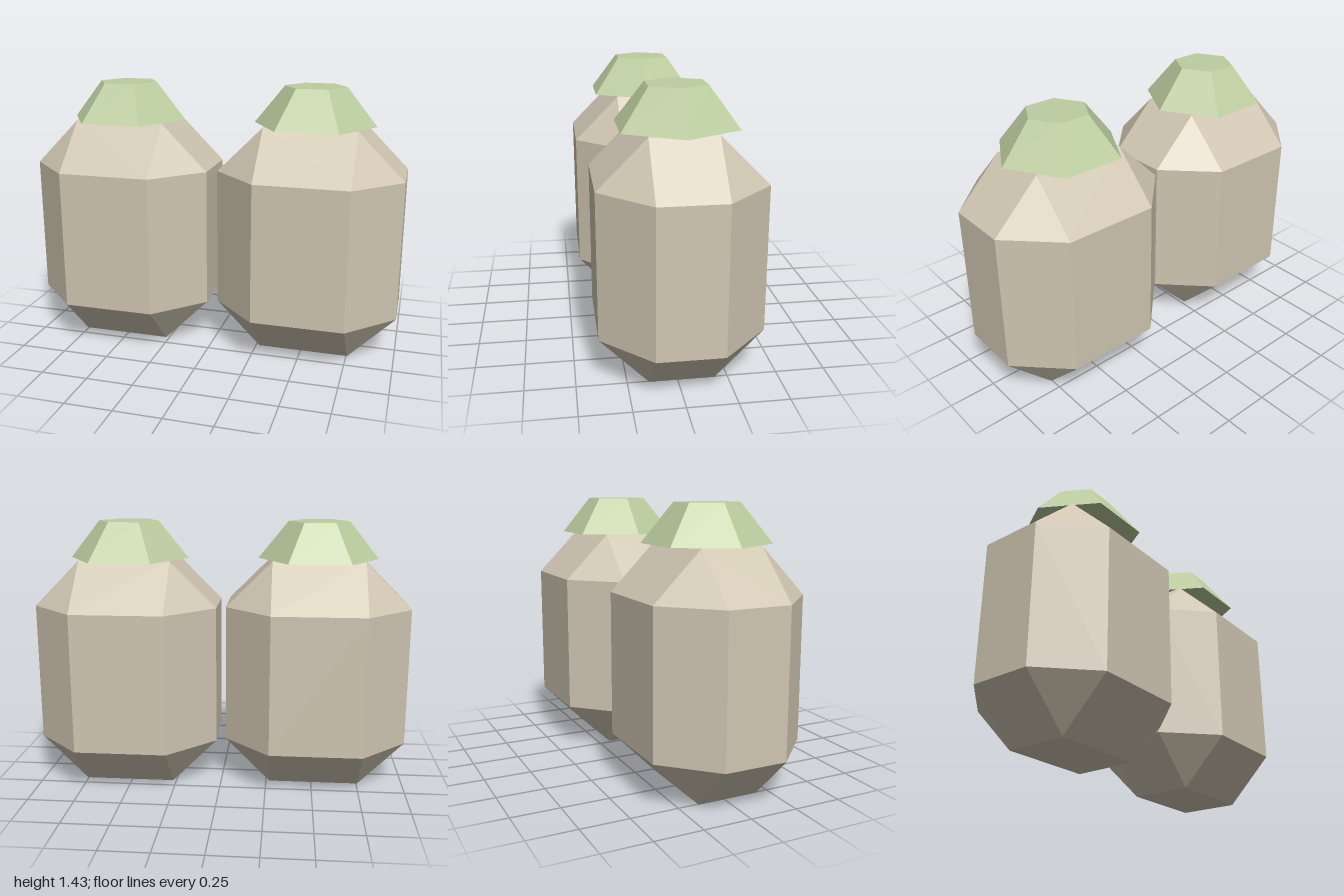
import * as THREE from 'three';
import { ConvexGeometry } from 'three/addons/geometries/ConvexGeometry.js';

const BODY_HEIGHT = 1.23;
const CAP_HEIGHT = 0.2;

// Box with every edge cut off: three corner points mirrored into all octants
function bodyGeometry() {
  const half = BODY_HEIGHT / 2;
  const corner = [
    [0.2435, half, 0.1635],
    [0.488, half - 0.245, 0.1635],
    [0.2435, half - 0.245, 0.407],
  ];
  const points = [];
  for (const sx of [-1, 1])
    for (const sy of [-1, 1])
      for (const sz of [-1, 1])
        for (const [x, y, z] of corner) points.push(new THREE.Vector3(sx * x, sy * y, sz * z));
  return new ConvexGeometry(points);
}

export function createModel() {
  const model = new THREE.Group();
  model.name = 'canisterPair';

  const bodyMaterial = new THREE.MeshStandardMaterial({ color: 0xd0c6b2, flatShading: true });
  const capMaterial = new THREE.MeshStandardMaterial({ color: 0xbccd9f, flatShading: true });

  const body = bodyGeometry();
  // Six-sided tapered cap with two corners on the x axis
  const cap = new THREE.CylinderGeometry(0.163, 0.324, CAP_HEIGHT, 6).rotateY(Math.PI / 6);

  // The two canisters are slightly staggered front to back
  for (const [side, s] of [['left', 1], ['right', -1]]) {
    const canister = new THREE.Group();
    canister.name = side + 'Canister';
    canister.position.set(s * 0.512, 0, -s * 0.021);

    const bodyMesh = new THREE.Mesh(body, bodyMaterial);
    bodyMesh.name = side + 'Body';
    bodyMesh.position.y = BODY_HEIGHT / 2;

    const capMesh = new THREE.Mesh(cap, capMaterial);
    capMesh.name = side + 'Cap';
    capMesh.position.y = BODY_HEIGHT + CAP_HEIGHT / 2;

    canister.add(bodyMesh, capMesh);
    model.add(canister);
  }
  return model;
}
